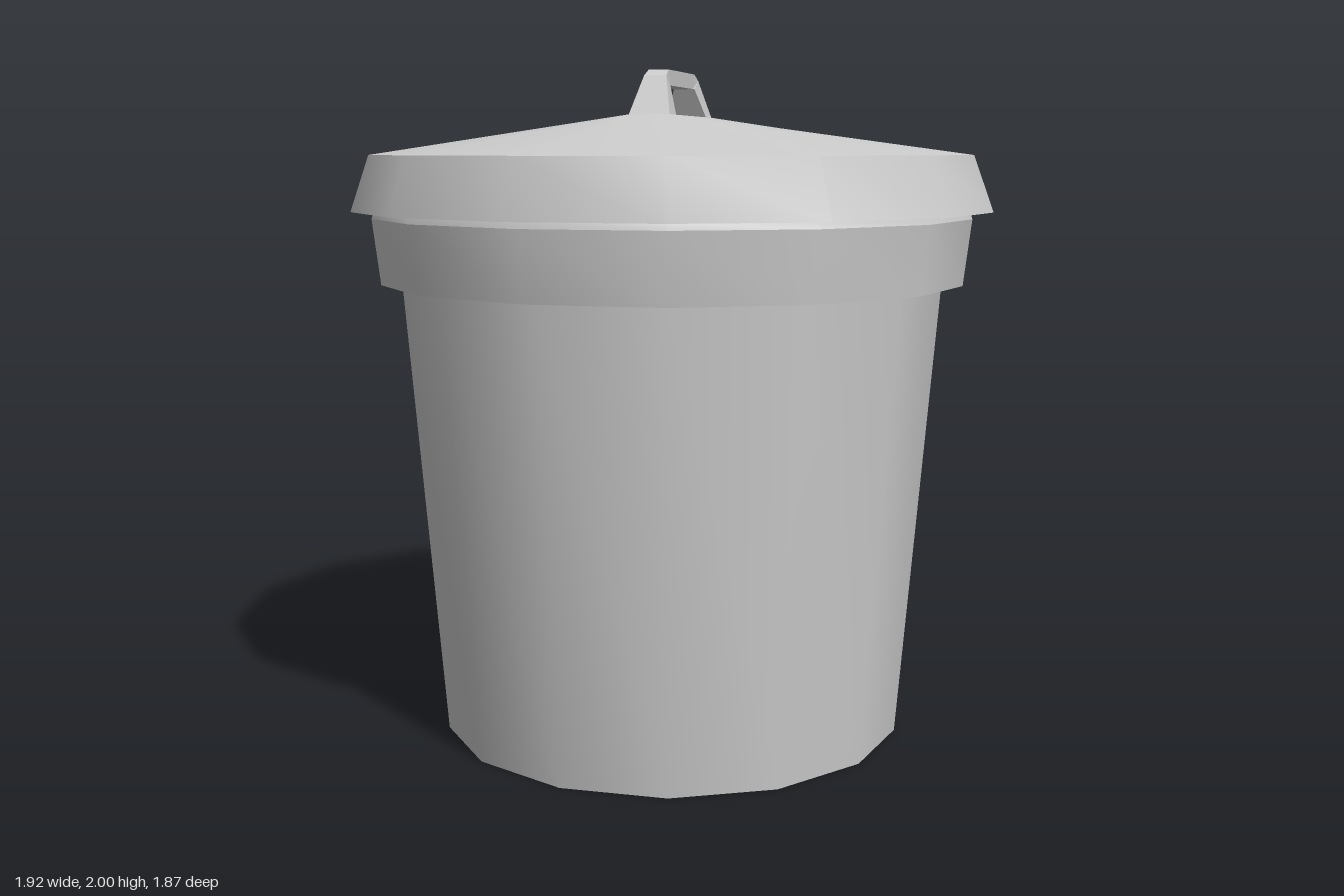
import * as THREE from 'three';

const SIDES = 14;
const material = new THREE.MeshStandardMaterial({ color: 0xcccccc });

// One 14-sided ring; rz differs from rx where it is slightly deeper than wide
function ring(rx, y, rz = rx) {
  return Array.from({ length: SIDES }, (_, i) => {
    const a = i * 2 * Math.PI / SIDES;
    return [rx * Math.cos(a), y, -rz * Math.sin(a)];
  });
}

// Skin a list of closed cross-sections, each a ring of [x, y, z] corners
function loft(rings) {
  const n = rings[0].length;
  const index = [];
  for (let s = 0; s < rings.length - 1; s++) {
    for (let k = 0; k < n; k++) {
      const a = s * n + k, b = s * n + (k + 1) % n;
      index.push(a, a + n, b + n, a, b + n, b);
    }
  }
  const geometry = new THREE.BufferGeometry();
  geometry.setAttribute('position', new THREE.Float32BufferAttribute(rings.flat(2), 3));
  geometry.setIndex(index);
  geometry.computeVertexNormals();
  return geometry;
}

// Round part from a top-down profile: smooth around, sharp edges between bands
function turned(name, profile) {
  const group = new THREE.Group();
  group.name = name;
  for (let i = 0; i < profile.length - 1; i++) {
    const band = new THREE.Mesh(loft([ring(...profile[i]), ring(...profile[i + 1])]), material);
    band.name = `${name}Band${i + 1}`;
    group.add(band);
  }
  return group;
}

// Sloping lid top, from the small rectangle under the handle out to the round rim
function lidTop() {
  const rim = ring(0.9, 1.755, 0.923);
  const seat = rim.map(([x, , z]) => [
    0.06 * Math.sign(x), 1.87, Math.abs(z) < 0.01 ? 0 : 0.275 * Math.sign(z),
  ]);
  const mesh = new THREE.Mesh(loft([seat, rim]), material);
  mesh.name = 'lidTop';
  return mesh;
}

// Flat seat closing the centre of the lid
function lidSeat() {
  const mesh = new THREE.Mesh(new THREE.PlaneGeometry(0.12, 0.55), material);
  mesh.name = 'lidSeat';
  mesh.rotation.x = -Math.PI / 2;
  mesh.position.y = 1.87;
  return mesh;
}

// Bent grip that narrows from its feet to the bar
function handle() {
  // half width, outer y, outer z, inner y, inner z
  const half = [
    [0.06, 1.87, 0.275, 1.87, 0.195],
    [0.033, 1.982, 0.205, 1.955, 0.155],
    [0.03, 2.0, 0.165, 1.955, 0.15],
  ];
  const mirrored = half.map(([w, oy, oz, iy, iz]) => [w, oy, -oz, iy, -iz]).reverse();
  const rings = [...half, ...mirrored].map(([w, oy, oz, iy, iz]) => [
    [w, oy, oz], [-w, oy, oz], [-w, iy, iz], [w, iy, iz],
  ]);
  const flat = material.clone();
  flat.flatShading = true;
  const mesh = new THREE.Mesh(loft(rings), flat);
  mesh.name = 'handle';
  return mesh;
}

export function createModel() {
  const model = new THREE.Group();
  model.name = 'bin';

  // Tapered body with its closed bottom
  model.add(turned('body', [[0.815, 1.375], [0.705, 0], [0, 0]]));
  // Raised collar around the mouth
  model.add(turned('collar', [[0.893, 1.59], [0.9, 1.57], [0.877, 1.375], [0.815, 1.375]]));

  // Lid with flared skirt, shallow top and grip
  const lid = new THREE.Group();
  lid.name = 'lid';
  lid.add(turned('lidSkirt', [[0.9, 1.755, 0.923], [0.96, 1.59], [0.89, 1.59]]));
  lid.add(lidTop(), lidSeat(), handle());
  model.add(lid);

  return model;
}
